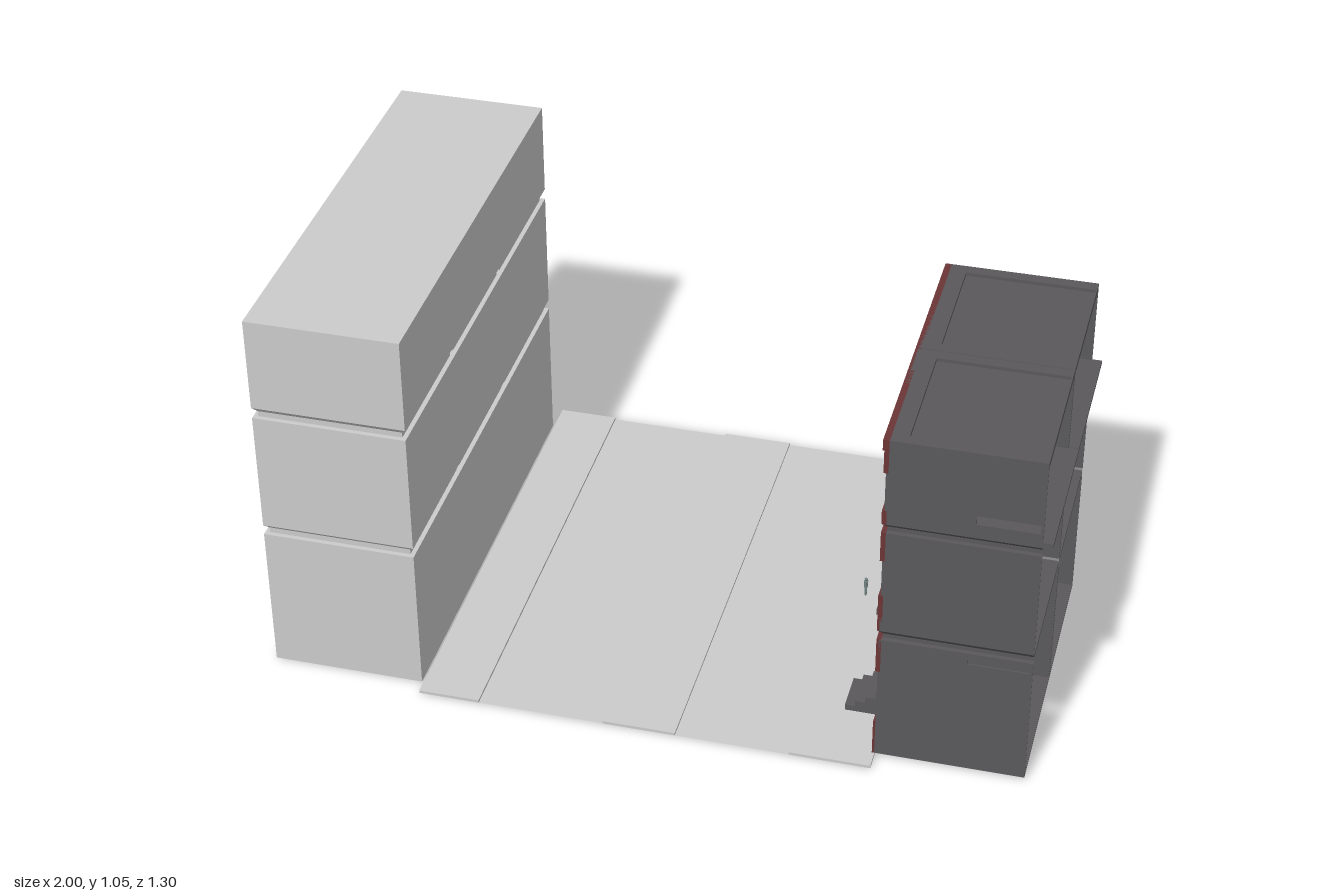
import * as THREE from 'three';

const mat = (color) => new THREE.MeshStandardMaterial({ color, side: THREE.DoubleSide, flatShading: true });
const GREY = mat(0xcccccc), DARK = mat(0x5a585b), BRICK = mat(0x6b3535), BLACK = mat(0x3a393c), CLOTH = mat(0x708080);

function add(parent, name, geometry, material) {
  const mesh = new THREE.Mesh(geometry, material);
  mesh.name = name;
  parent.add(mesh);
  return mesh;
}

// box given by its limits
function box(parent, name, x0, x1, y0, y1, z0, z1, material) {
  const m = add(parent, name, new THREE.BoxGeometry(x1 - x0, y1 - y0, z1 - z0), material);
  m.position.set((x0 + x1) / 2, (y0 + y1) / 2, (z0 + z1) / 2);
  return m;
}

// skin through rectangular rings; rows are [y, inset]; an open skin has no +x side
function ringSkin(x0, x1, z0, z1, rows, closed) {
  const ring = ([y, i]) => {
    const ix = Math.min(i, (x1 - x0) / 2), iz = Math.min(i, (z1 - z0) / 2);
    const back = closed ? x1 - ix : x1;
    return [[back, y, z0 + iz], [x0 + ix, y, z0 + iz], [x0 + ix, y, z1 - iz], [back, y, z1 - iz]];
  };
  const pos = [];
  for (let r = 0; r < rows.length - 1; r++) {
    const a = ring(rows[r]), b = ring(rows[r + 1]);
    for (let k = 0; k < (closed ? 4 : 3); k++) {
      const n = (k + 1) % 4;
      pos.push(...a[k], ...a[n], ...b[n], ...a[k], ...b[n], ...b[k]);
    }
  }
  const g = new THREE.BufferGeometry();
  g.setAttribute('position', new THREE.Float32BufferAttribute(pos, 3));
  g.computeVertexNormals();
  return g;
}

const rect = (a, b, c, d) => [[a, c], [b, c], [b, d], [a, d]];

// flat panel with holes, extruded by depth
function panel(outline, holes, depth) {
  const pts = (list) => list.map(([x, y]) => new THREE.Vector2(x, y));
  const shape = new THREE.Shape(pts(outline));
  holes.forEach((h) => shape.holes.push(new THREE.Path(pts(h))));
  return new THREE.ExtrudeGeometry(shape, { depth, bevelEnabled: false });
}

// facade panel: outline in (z, y), standing out from x = 0.6 towards -x
function facade(parent, name, outline, holes, depth, material) {
  const g = panel(outline, holes, depth);
  g.rotateY(-Math.PI / 2);
  g.translate(0.6, 0, 0);
  add(parent, name, g, material);
}

function createFigure(name) {
  const f = new THREE.Group();
  f.name = name;
  for (const s of [-1, 1]) {
    const leg = add(f, 'leg', new THREE.CylinderGeometry(0.003, 0.0025, 0.024, 6), CLOTH);
    leg.position.set(0, 0.012, s * 0.004);
    const arm = add(f, 'arm', new THREE.CylinderGeometry(0.002, 0.002, 0.02, 6), CLOTH);
    arm.position.set(0, 0.033, s * 0.008);
    arm.rotation.x = -s * 0.25;
  }
  add(f, 'torso', new THREE.CylinderGeometry(0.006, 0.005, 0.021, 6), CLOTH).position.y = 0.034;
  add(f, 'head', new THREE.SphereGeometry(0.0045, 8, 6), CLOTH).position.y = 0.05;
  return f;
}

// one townhouse, 0.4 wide, open at the +x side
function createTownhouse() {
  const h = new THREE.Group();
  h.name = 'townhouse';
  const W = 0.199;

  // brick bands
  for (const [y0, y1] of [[0.277, 0.378], [0.405, 0.515], [0.62, 0.705], [0.73, 0.77], [0.88, 0.975]])
    facade(h, 'brickBand', rect(-W, W, y0, y1), [], 0.012, BRICK);
  facade(h, 'cornice', rect(-W, W, 0.945, 0.975), [], 0.016, BRICK);
  for (const s of [-1, 1])
    facade(h, 'brickBase', [[s * W, 0.013], [s * 0.055, 0.013], [s * 0.055, 0.08], [s * 0.09, 0.115], [s * W, 0.115]],
      [], 0.012, BRICK);

  // window bands
  const windows = [0.125, 0.02, -0.125], half = 0.036;
  const holes = (zs, y0, y1) => zs.map((z) => rect(z - half, z + half, y0, y1));
  facade(h, 'topWindowBand', rect(-W, W, 0.77, 0.88), holes(windows, 0.79, 0.857), 0.006, DARK);
  facade(h, 'middleWindowBand', rect(-W, W, 0.515, 0.62),
    [...holes(windows, 0.517, 0.542), ...holes(windows, 0.594, 0.616)], 0.006, DARK);
  const side = [0.125, -0.125], door = rect(-0.05, 0.055, 0.08, 0.243);
  facade(h, 'groundWindowBand',
    [[-W, 0.115], [-0.09, 0.115], [-0.055, 0.08], [-0.055, 0.07], [0.06, 0.07], [0.06, 0.08], [0.09, 0.115], [W, 0.115],
      [W, 0.277], [-W, 0.277]],
    [...holes(side, 0.121, 0.145), ...holes(side, 0.21, 0.228), door], 0.006, DARK);
  facade(h, 'doorFrame', rect(-0.055, 0.06, 0.079, 0.247), [rect(-0.047, 0.052, 0.081, 0.24)], 0.012, BLACK);
  facade(h, 'doorSill', rect(-0.055, 0.055, 0.013, 0.08), [], 0.008, DARK);

  // stoop
  for (let i = 0; i < 4; i++)
    box(h, 'step', 0.488 + i * 0.026, 0.594, 0.013 + i * 0.0168, 0.03 + i * 0.0168, -0.054, 0.054, DARK);

  // side walls, storey by storey
  const storeys = [[0.013, 0.378], [0.405, 0.705], [0.73, 0.975]];
  const nearHoles = [[rect(0.815, 0.968, 0.345, 0.372)], [], [rect(0.815, 0.968, 0.77, 0.795)]];
  const farHoles = [[], [], [rect(0.66, 0.74, 0.785, 0.895)]];
  storeys.forEach(([y0, y1], i) => {
    const outline = rect(0.594, 0.975, y0, y1);
    add(h, 'sideWall', panel(outline, nearHoles[i], 0.004), DARK).position.z = W - 0.004;
    add(h, 'sideWall', panel(outline, farHoles[i], 0.004), DARK).position.z = -W;
  });

  // recessed grooves between storeys
  for (const [y0, y1] of [[0.378, 0.405], [0.705, 0.73]])
    add(h, 'groove', ringSkin(0.59, 0.975, -W, W,
      [[y0, 0], [y0, 0.012], [y0 + 0.012, 0.012], [y1, 0]], false), DARK);

  // floors and roof with a low parapet
  box(h, 'groundFloor', 0.594, 0.975, 0.013, 0.017, -W, W, DARK);
  box(h, 'middleFloor', 0.6, 0.975, 0.393, 0.402, -W + 0.01, W - 0.01, DARK);
  box(h, 'topFloor', 0.602, 1.0, 0.736, 0.746, -W, W, DARK);
  box(h, 'roof', 0.594, 0.975, 0.958, 0.966, -W, W, DARK);
  const rim = panel(rect(0.588, 0.975, -W, W), [rect(0.642, 0.972, -0.168, 0.168)], 0.009);
  rim.rotateX(Math.PI / 2);
  add(h, 'parapet', rim, DARK).position.y = 0.975;
  return h;
}

export function createModel() {
  const model = new THREE.Group();
  model.name = 'street';

  // pavements, median and road
  for (const [a, b] of [[-0.59, -0.43], [-0.1, 0.09], [0.385, 0.595]])
    box(model, 'pavement', a, b, 0.005, 0.013, -0.655, 0.65, GREY);
  for (const [a, b] of [[-0.43, -0.1], [0.09, 0.385]]) {
    const road = add(model, 'road', new THREE.PlaneGeometry(b - a, 1.305).rotateX(-Math.PI / 2), GREY);
    road.position.set((a + b) / 2, 0.006, -0.0025);
  }

  // plain block: three units with grooves between storeys
  const rows = [[0, 1], [0, 0], [0.405, 0], [0.405, 0.012], [0.42, 0.012], [0.433, 0],
    [0.765, 0], [0.765, 0.012], [0.78, 0.012], [0.795, 0], [1.05, 0], [1.05, 1]];
  for (let i = 0; i < 3; i++) {
    const z = -0.59 + i * 0.3967;
    add(model, 'plainBlock', ringSkin(-1, -0.6, z, z + 0.3967, rows, true), GREY);
  }

  // pair of townhouses
  for (const z of [0, 0.4]) {
    const house = createTownhouse();
    house.position.z = z;
    model.add(house);
  }

  // people
  const walker = createFigure('walker');
  walker.position.set(0.443, 0.013, -0.025);
  const resident = createFigure('resident');
  resident.position.set(0.9, 0.746, 0.037);
  resident.scale.setScalar(1.3);
  model.add(walker, resident);
  return model;
}
